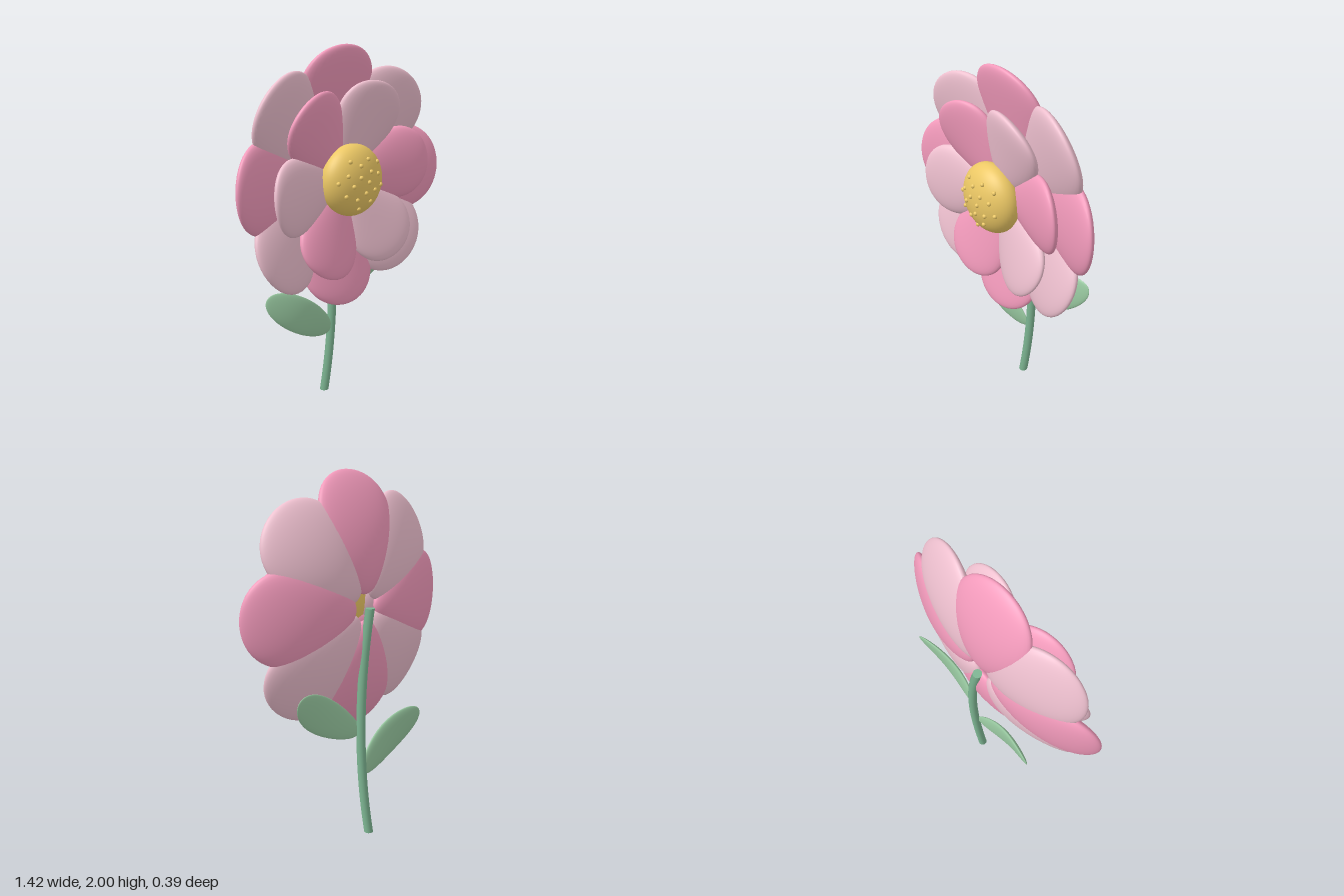
import * as THREE from 'three';
import { mergeVertices } from 'three/addons/utils/BufferGeometryUtils.js';

const CENTRE_Y = 1.29;
const mat = (color) => new THREE.MeshStandardMaterial({ color });

// Smooth padded blade running along +y from r0 to r1, wider towards its tip;
// bend(t) gives the z of its middle surface, t = 0 at the base and 1 at the tip
function bladeGeometry({ r0, r1, width, taper, thick, bend }) {
  const g = new THREE.SphereGeometry(1, 40, 32);
  const p = g.attributes.position;
  for (let i = 0; i < p.count; i++) {
    const s = p.getY(i), t = (s + 1) / 2;
    p.setXYZ(i,
      p.getX(i) * width * (1 + taper * s),
      r0 + (r1 - r0) * t,
      p.getZ(i) * thick + bend(t));
  }
  g.deleteAttribute('uv');
  g.deleteAttribute('normal');
  const smooth = mergeVertices(g, 1e-5);
  smooth.computeVertexNormals();
  return smooth;
}

export function createModel() {
  const flower = new THREE.Group();
  flower.name = 'flower';
  const add = (name, geometry, material, parent = flower) => {
    const mesh = new THREE.Mesh(geometry, material);
    mesh.name = name;
    parent.add(mesh);
    return mesh;
  };

  const deepPink = mat(0xf29abb), palePink = mat(0xeec0cf);
  const yellow = mat(0xecc865), stemGreen = mat(0x7db592), leafGreen = mat(0x98c8a0);

  // Ring of petals in alternating pinks
  function petalRing(name, count, startDeg, geometry) {
    const ring = new THREE.Group();
    ring.name = name + 's';
    ring.position.y = CENTRE_Y;
    for (let i = 0; i < count; i++) {
      const petal = add(name, geometry, i % 2 ? palePink : deepPink, ring);
      petal.rotation.z = THREE.MathUtils.degToRad(startDeg + i * 360 / count - 90);
      petal.position.z = i % 2 ? 0.003 : -0.003;
    }
    flower.add(ring);
  }
  petalRing('outerPetal', 8, 0, bladeGeometry({
    r0: 0.07, r1: 0.71, width: 0.238, taper: 0.33, thick: 0.07,
    bend: (t) => -0.13 + 0.155 * (0.1 + 0.9 * t) ** 2,
  }));
  petalRing('innerPetal', 6, 8, bladeGeometry({
    r0: 0.07, r1: 0.545, width: 0.197, taper: 0.3, thick: 0.06,
    bend: (t) => 0.11 * t * t,
  }));

  // Domed centre
  const domeR = 0.195, domeDepth = 0.115, domeZ = 0.07;
  const dome = add('flowerCentre', new THREE.SphereGeometry(1, 48, 32), yellow);
  dome.scale.set(domeR, domeR, domeDepth);
  dome.position.set(0, CENTRE_Y, domeZ);

  // Seeds in a golden-angle spiral over the dome
  const seedGeo = new THREE.SphereGeometry(0.012, 14, 10);
  for (let i = 0; i < 18; i++) {
    const r = 0.037 * Math.sqrt(i + 0.4), a = i * Math.PI * (3 - Math.sqrt(5));
    const z = domeZ + domeDepth * Math.sqrt(1 - (r / domeR) ** 2);
    add('seed', seedGeo, yellow).position.set(r * Math.cos(a), CENTRE_Y + r * Math.sin(a), z);
  }

  // Bowed stem with flat ends
  const stemGeo = new THREE.CylinderGeometry(0.025, 0.025, CENTRE_Y, 24, 32);
  stemGeo.translate(0, CENTRE_Y / 2, -0.17);
  const sp = stemGeo.attributes.position;
  for (let i = 0; i < sp.count; i++) {
    const t = sp.getY(i) / CENTRE_Y;
    sp.setX(i, sp.getX(i) + 0.065 * (1 - (2 * t - 1) ** 2));
  }
  add('stem', stemGeo, stemGreen);

  // Two leaves arching off the stem
  const leafGeo = bladeGeometry({
    r0: 0, r1: 0.515, width: 0.1, taper: 0.12, thick: 0.02,
    bend: (t) => 0.035 * Math.sin(Math.PI * t) - 0.015 * t,
  });
  for (const [name, x, y, deg] of [['rightLeaf', 0.04, 0.37, 149], ['leftLeaf', 0.07, 0.61, 31]]) {
    const leaf = add(name, leafGeo, leafGreen);
    leaf.position.set(x, y, -0.16);
    leaf.rotation.z = THREE.MathUtils.degToRad(deg - 90);
  }

  return flower;
}
